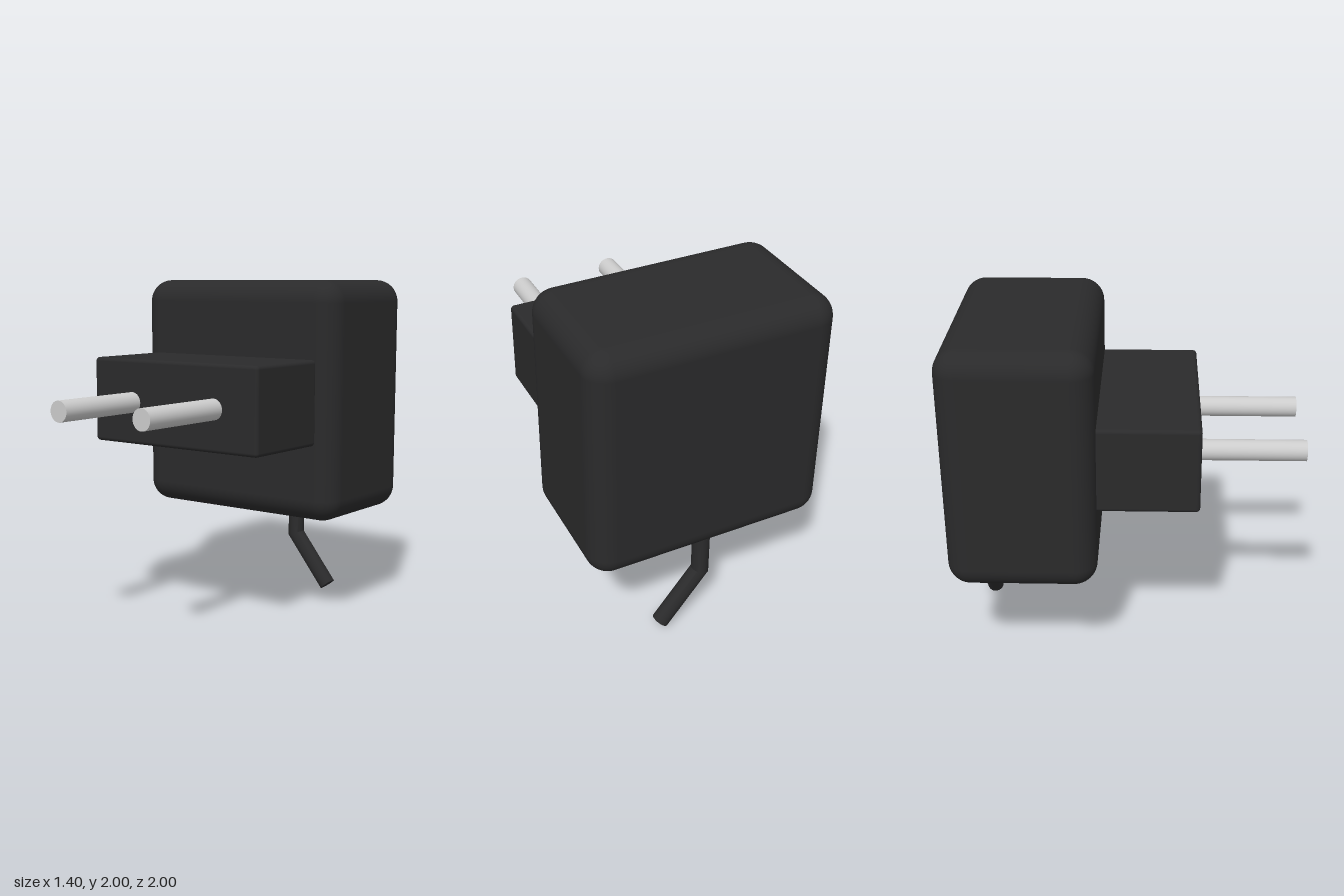
import * as THREE from 'three';
import { toCreasedNormals } from 'three/addons/utils/BufferGeometryUtils.js';
import { RoundedBoxGeometry } from 'three/addons/geometries/RoundedBoxGeometry.js';

const black = new THREE.MeshStandardMaterial({ color: 0x2a2a2b });
const metal = new THREE.MeshStandardMaterial({ color: 0xcccccc });

// Cylinder bent once: the middle ring is mitred, the end ring squared to the cable
function bentCableGeometry(radius, top, bend, end) {
  const angle = Math.atan2(end.x, bend - end.y);
  const geometry = new THREE.CylinderGeometry(radius, radius, 2, 24, 2);
  const p = geometry.attributes.position;
  for (let i = 0; i < p.count; i++) {
    const x = p.getX(i), level = Math.round(p.getY(i));
    if (level === 1) p.setY(i, top);
    else if (level === 0) p.setY(i, bend + x * Math.tan(angle / 2));
    else {
      p.setX(i, end.x + x * Math.cos(angle));
      p.setY(i, end.y + x * Math.sin(angle));
    }
  }
  return toCreasedNormals(geometry, 0.5);
}

export function createModel() {
  const model = new THREE.Group();
  model.name = 'powerAdapter';

  const add = (name, geometry, material, x, y, z) => {
    const mesh = new THREE.Mesh(geometry, material);
    mesh.name = name;
    mesh.position.set(x, y, z);
    model.add(mesh);
    return mesh;
  };

  // Main housing with generous rounded edges
  add('housing', new RoundedBoxGeometry(1.4, 1.4, 0.84, 6, 0.13), black, 0, 1.3, -0.58);

  // Plug block on the front, seated slightly into the housing
  add('plugBlock', new RoundedBoxGeometry(1.18, 0.495, 0.58, 3, 0.022), black, 0, 1.303, 0.115);

  // Round contact pins
  for (const [name, side] of [['leftPin', 1], ['rightPin', -1]]) {
    const pin = new THREE.CylinderGeometry(0.06, 0.06, 0.62, 32).rotateX(Math.PI / 2);
    add(name, pin, metal, side * 0.296, 1.3, 0.69);
  }

  // Cable stub leaving the underside near the back
  const end = new THREE.Vector2(0.248, 0.031);
  add('cable', bentCableGeometry(0.05, 0.63, 0.343, end), black, 0, 0, -0.875);

  return model;
}
